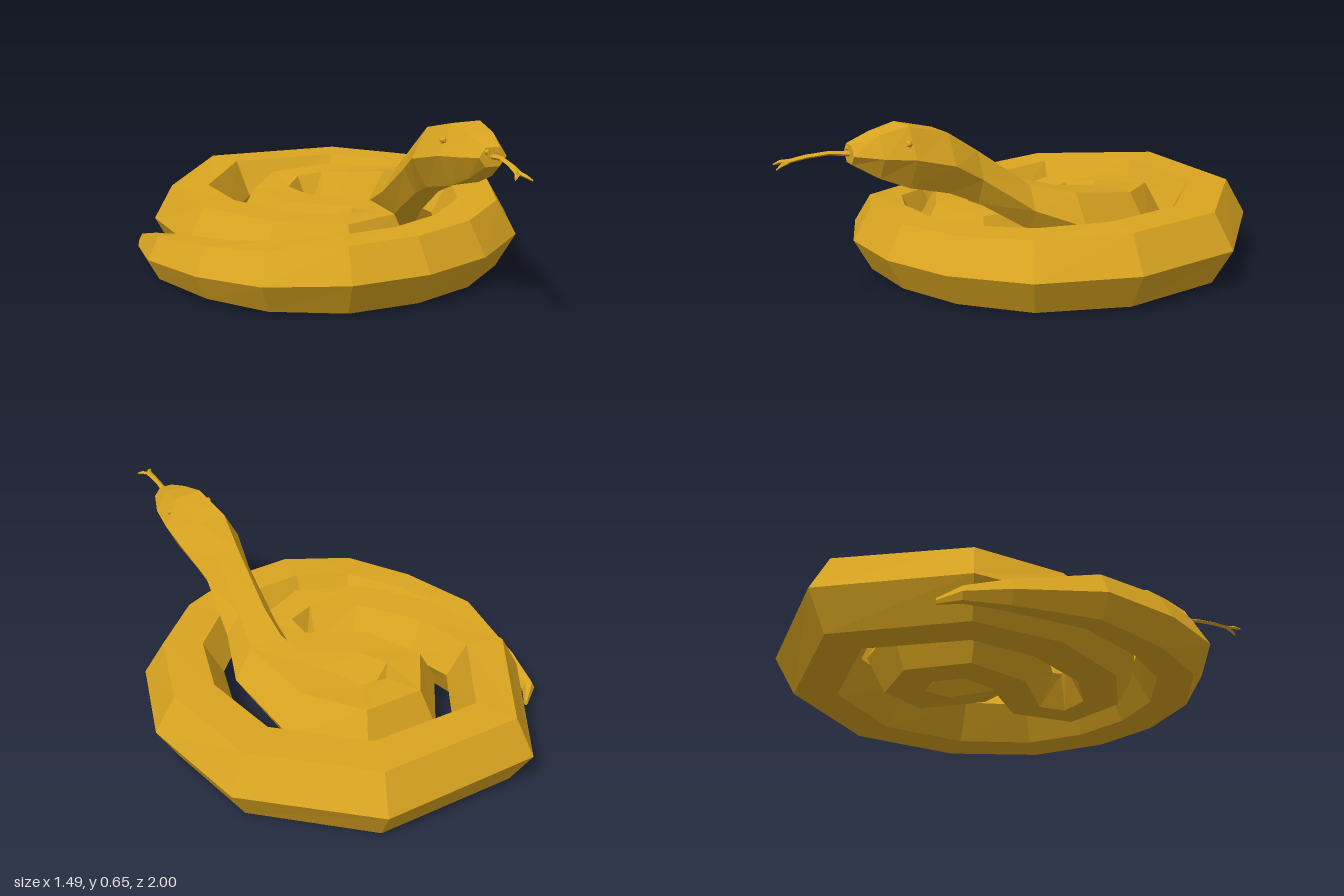
import * as THREE from 'three';

const scales = new THREE.MeshStandardMaterial({ color: 0xdaa520, flatShading: true });

// Skin upright cross-sections [x, z, halfWidth, bottom, top] into a closed faceted tube.
function skin(name, rings, sides) {
  const pos = [], index = [], last = rings.length - 1;
  rings.forEach(([x, z, w, bottom, top], i) => {
    const a = rings[Math.max(i - 1, 0)], b = rings[Math.min(i + 1, last)];
    const len = Math.hypot(b[0] - a[0], b[1] - a[1]);
    const sx = -(b[1] - a[1]) / len, sz = (b[0] - a[0]) / len;
    const peak = sides === 6 ? Math.sin(Math.PI / 3) : 1;
    for (let j = 0; j < sides; j++) {
      const t = (j / sides) * Math.PI * 2;
      const c = Math.cos(t) * w;
      pos.push(x + sx * c, (bottom + top) / 2 + (Math.sin(t) / peak) * (top - bottom) / 2, z + sz * c);
    }
  });
  for (let i = 0; i < last; i++) {
    for (let j = 0; j < sides; j++) {
      const k = (j + 1) % sides, p = i * sides, q = p + sides;
      index.push(p + j, q + j, q + k, p + j, q + k, p + k);
    }
  }
  for (let j = 1; j < sides - 1; j++) {
    const e = last * sides;
    index.push(0, j, j + 1, e, e + j + 1, e + j);
  }
  const geometry = new THREE.BufferGeometry();
  geometry.setAttribute('position', new THREE.Float32BufferAttribute(pos, 3));
  geometry.setIndex(index);
  geometry.computeVertexNormals();
  const mesh = new THREE.Mesh(geometry, scales);
  mesh.name = name;
  return mesh;
}

export function createModel() {
  const group = new THREE.Group();
  group.name = 'coiledSnake';

  // Tail and outer coil
  const outerCoil = [
    [-0.455, -0.755, 0.008, 0.03, 0.05],
    [-0.535, -0.715, 0.025, 0.02, 0.07],
    [-0.59, -0.58, 0.045, 0.02, 0.11],
    [-0.667, -0.3, 0.083, 0.02, 0.18],
    [-0.632, -0.03, 0.105, 0.015, 0.205],
    [-0.54, 0.19, 0.128, 0.015, 0.23],
    [-0.35, 0.345, 0.135, 0.01, 0.25],
    [-0.12, 0.405, 0.138, 0.01, 0.255],
    [0.115, 0.385, 0.142, 0.01, 0.26],
    [0.345, 0.275, 0.15, 0.01, 0.27],
    [0.53, 0.03, 0.155, 0.012, 0.28],
    [0.59, -0.32, 0.157, 0.015, 0.285],
    [0.39, -0.69, 0.156, 0.015, 0.29],
    [-0.065, -0.85, 0.155, 0.015, 0.29],
    [-0.4, -0.58, 0.143, 0.012, 0.275],
    [-0.445, -0.3, 0.145, 0.01, 0.265],
  ];
  // Hairpin turn and inner coil
  const innerCoil = [
    [-0.36, -0.01, 0.14, 0.01, 0.26],
    [-0.2, 0.15, 0.13, 0.01, 0.255],
    [-0.03, 0.14, 0.12, 0.005, 0.25],
    [0.02, -0.02, 0.12, 0.005, 0.245],
    [-0.13, -0.22, 0.135, 0.005, 0.25],
    [-0.135, -0.4, 0.137, 0.01, 0.26],
    [0.01, -0.505, 0.137, 0.01, 0.275],
    [0.17, -0.455, 0.145, 0.015, 0.285],
  ];
  // Rising neck and head
  const neckAndHead = [
    [0.235, -0.28, 0.162, 0.035, 0.305],
    [0.215, -0.03, 0.135, 0.12, 0.35],
    [0.14, 0.11, 0.1, 0.22, 0.39],
    [0.065, 0.3, 0.09, 0.345, 0.535],
    [0.025, 0.42, 0.118, 0.4, 0.615],
    [-0.005, 0.57, 0.108, 0.44, 0.655],
    [-0.03, 0.67, 0.085, 0.485, 0.635],
    [-0.06, 0.755, 0.05, 0.54, 0.605],
  ];
  group.add(skin('body', [...outerCoil, ...innerCoil, ...neckAndHead], 6));

  // Forked tongue
  group.add(skin('tongue', [
    [-0.05, 0.73, 0.015, 0.56, 0.58],
    [-0.085, 0.82, 0.011, 0.575, 0.59],
    [-0.115, 0.89, 0.012, 0.57, 0.585],
    [-0.14, 0.945, 0.014, 0.56, 0.575],
  ], 4));
  for (const [name, x, z, y] of [['leftFork', -0.13, 1, 0.55], ['rightFork', -0.182, 0.975, 0.555]]) {
    group.add(skin(name, [
      [-0.138, 0.935, 0.009, 0.56, 0.575],
      [(x - 0.14) / 2, (z + 0.95) / 2, 0.008, y + 0.003, y + 0.017],
      [x, z, 0.002, y - 0.003, y + 0.003],
    ], 4));
  }

  // Eyes and nostrils
  const bumps = [
    ['leftEye', 0.067, 0.6, 0.6, 0.014], ['rightEye', -0.09, 0.6, 0.55, 0.014],
    ['leftNostril', -0.042, 0.59, 0.752, 0.012], ['rightNostril', -0.078, 0.59, 0.744, 0.012],
  ];
  for (const [name, x, y, z, r] of bumps) {
    const bump = new THREE.Mesh(new THREE.IcosahedronGeometry(r, 0), scales);
    bump.name = name;
    bump.position.set(x, y, z);
    group.add(bump);
  }
  return group;
}
